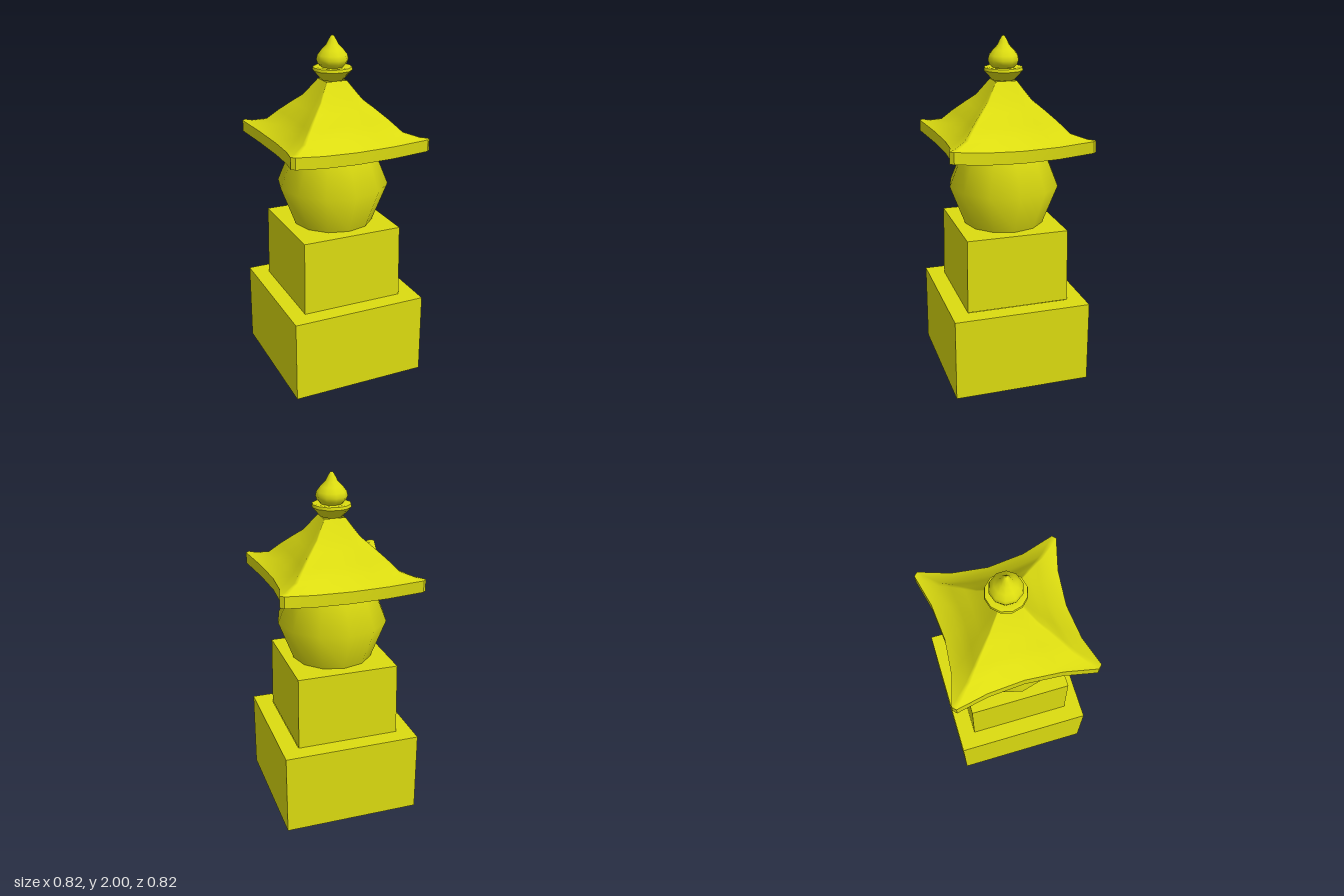
import * as THREE from 'three';
import { toCreasedNormals } from 'three/addons/utils/BufferGeometryUtils.js';

// Skin a list of closed rings (ordered from below to above along the outside)
function loft(rings, crease) {
  const n = rings[0].length;
  const index = [];
  for (let i = 0; i < rings.length - 1; i++) {
    for (let j = 0; j < n; j++) {
      const k = (j + 1) % n;
      const a = i * n + j, b = i * n + k;
      index.push(a, b, b + n, a, b + n, a + n);
    }
  }
  const geometry = new THREE.BufferGeometry();
  geometry.setAttribute('position', new THREE.Float32BufferAttribute(rings.flat(2), 3));
  geometry.setIndex(index);
  geometry.computeVertexNormals();
  return crease ? toCreasedNormals(geometry, crease) : geometry;
}

// Four-cornered ring
const square = ([r, y]) => [[-r, y, r], [r, y, r], [r, y, -r], [-r, y, -r]];

// Square ring with bowed-in sides, lifted and clipped corners
function roofRing([corner, cornerY, mid, midY]) {
  const ring = [];
  for (let side = 0; side < 4; side++) {
    const c = Math.round(Math.cos(side * Math.PI / 2));
    const s = Math.round(Math.sin(side * Math.PI / 2));
    for (const t of [-0.95, -0.51, 0, 0.51, 0.95]) {
      const bow = (t / 0.95) ** 2;
      const along = t * corner;
      const out = mid + (corner - mid) * bow;
      const y = midY + (cornerY - midY) * bow;
      ring.push([along * c + out * s, y, out * c - along * s]);
    }
  }
  return ring;
}

function lathe(profile, sides, crease) {
  const points = profile.map(([x, y]) => new THREE.Vector2(x, y));
  const geometry = new THREE.LatheGeometry(points, sides);
  return crease ? toCreasedNormals(geometry, crease) : geometry;
}

export function createModel() {
  const stone = new THREE.MeshStandardMaterial({ color: 0xdcdc10, side: THREE.DoubleSide });
  stone.name = 'yellowStone';
  const group = new THREE.Group();
  group.name = 'stoneTower';
  const add = (name, geometry) => {
    const mesh = new THREE.Mesh(geometry, stone);
    mesh.name = name;
    group.add(mesh);
    return mesh;
  };

  // Hollow base and the smaller block above it, open underneath
  add('base', loft([[0.402, 0], [0.402, 0.485], [0.3, 0.485]].map(square), 0.6));
  const block = add('upperBlock', loft([[0.302, 0.485], [0.297, 0.918], [0, 0.918]].map(square), 0.6));
  block.position.x = -0.004;

  // Coarse round body
  add('body', lathe([[0.235, 0.92], [0.323, 1.15], [0.238, 1.36]], 12));

  // Roof: underside, rim band and swept top
  const rimLow = [0.41, 1.4, 0.345, 1.356];
  const rimHigh = [0.41, 1.466, 0.345, 1.425];
  add('roofUnderside', loft([[0.17, 1.358, 0.17, 1.358], rimLow].map(roofRing)));
  add('roofRim', loft([rimLow, rimHigh].map(roofRing), 0.6));
  add('roofTop', loft([
    rimHigh,
    [0.375, 1.466, 0.32, 1.441],
    [0.3, 1.488, 0.265, 1.484],
    [0.243, 1.55, 0.22, 1.535],
    [0.18, 1.61, 0.168, 1.6],
    [0.128, 1.657, 0.124, 1.652],
    [0.062, 1.755, 0.062, 1.755],
  ].map(roofRing)));

  // Flared dish and pointed bud on top
  add('finialDish', lathe([[0.062, 1.755], [0.113, 1.81], [0.11, 1.826], [0.098, 1.83], [0.06, 1.826]], 12, 0.7));
  add('finialBud', lathe([
    [0.062, 1.826], [0.082, 1.845], [0.09, 1.868], [0.084, 1.893],
    [0.062, 1.922], [0.036, 1.947], [0.022, 1.975], [0.008, 1.998], [0, 2],
  ], 10));

  return group;
}
